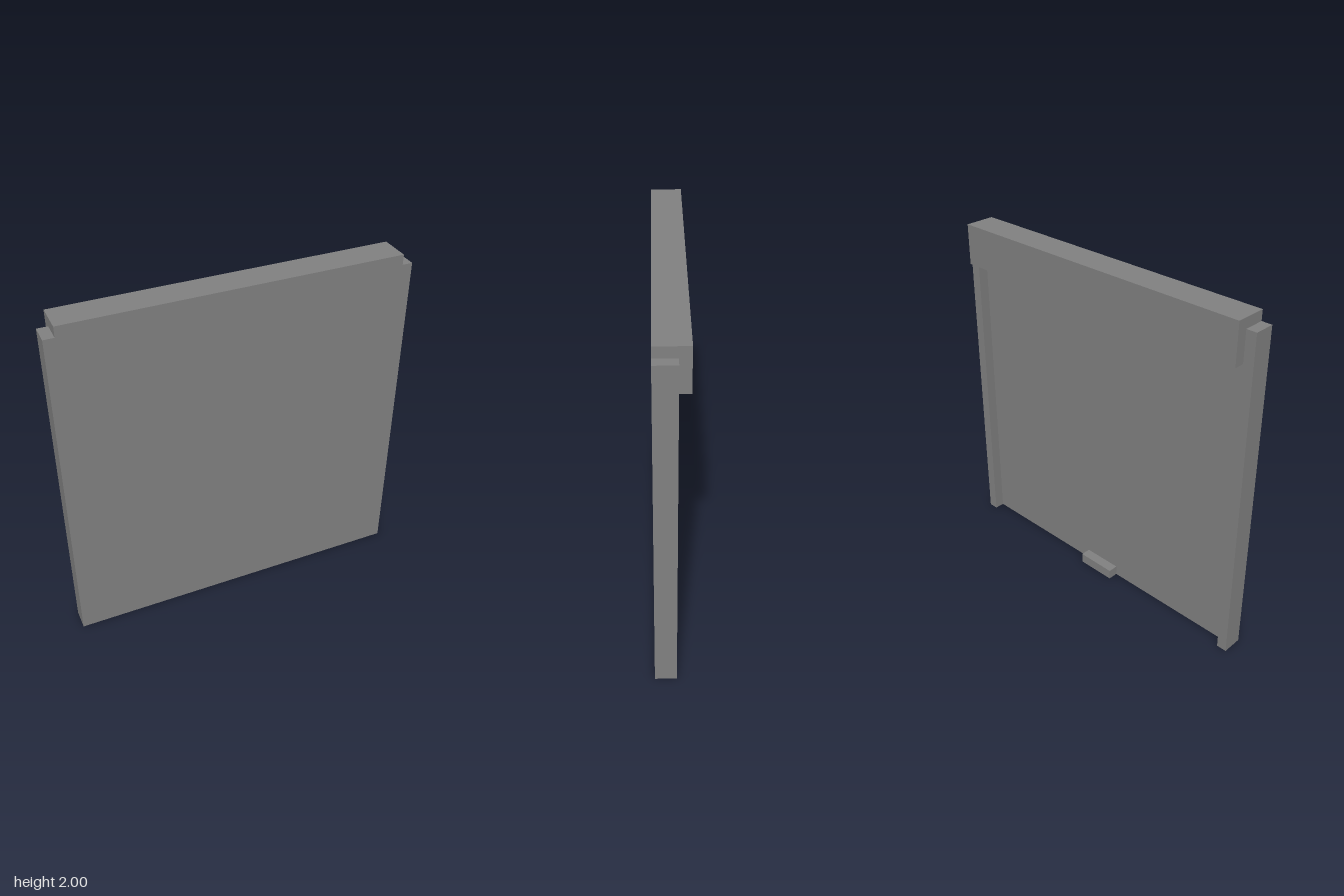
import * as THREE from 'three';

export function createModel() {
  const group = new THREE.Group();
  group.name = 'shutterPanel';
  const grey = new THREE.MeshStandardMaterial({ color: 0x808080 });
  grey.name = 'grey';

  const u = 1 / 17; // module: every size is a whole number of these
  const front = 1.5 * u;

  // Box centred on x, standing on y, with its front face flush at z = front - inset
  function block(name, w, h, d, x, y, inset = 0) {
    const mesh = new THREE.Mesh(new THREE.BoxGeometry(w * u, h * u, d * u), grey);
    mesh.name = name;
    mesh.position.set(x * u, (y + h / 2) * u, front - (inset + d / 2) * u);
    group.add(mesh);
  }

  // Flat sheet between the rails, under the deep header box
  block('panel', 32, 30, 1, 0, 0);
  block('header', 32, 4, 3, 0, 30);

  // Side rails, slightly lower than the header
  block('leftRail', 1, 33, 2, 16.5, 0);
  block('rightRail', 1, 33, 2, -16.5, 0);

  // Small handle at the bottom of the back
  block('handle', 4, 1, 1, 0, 0, 1);

  return group;
}
